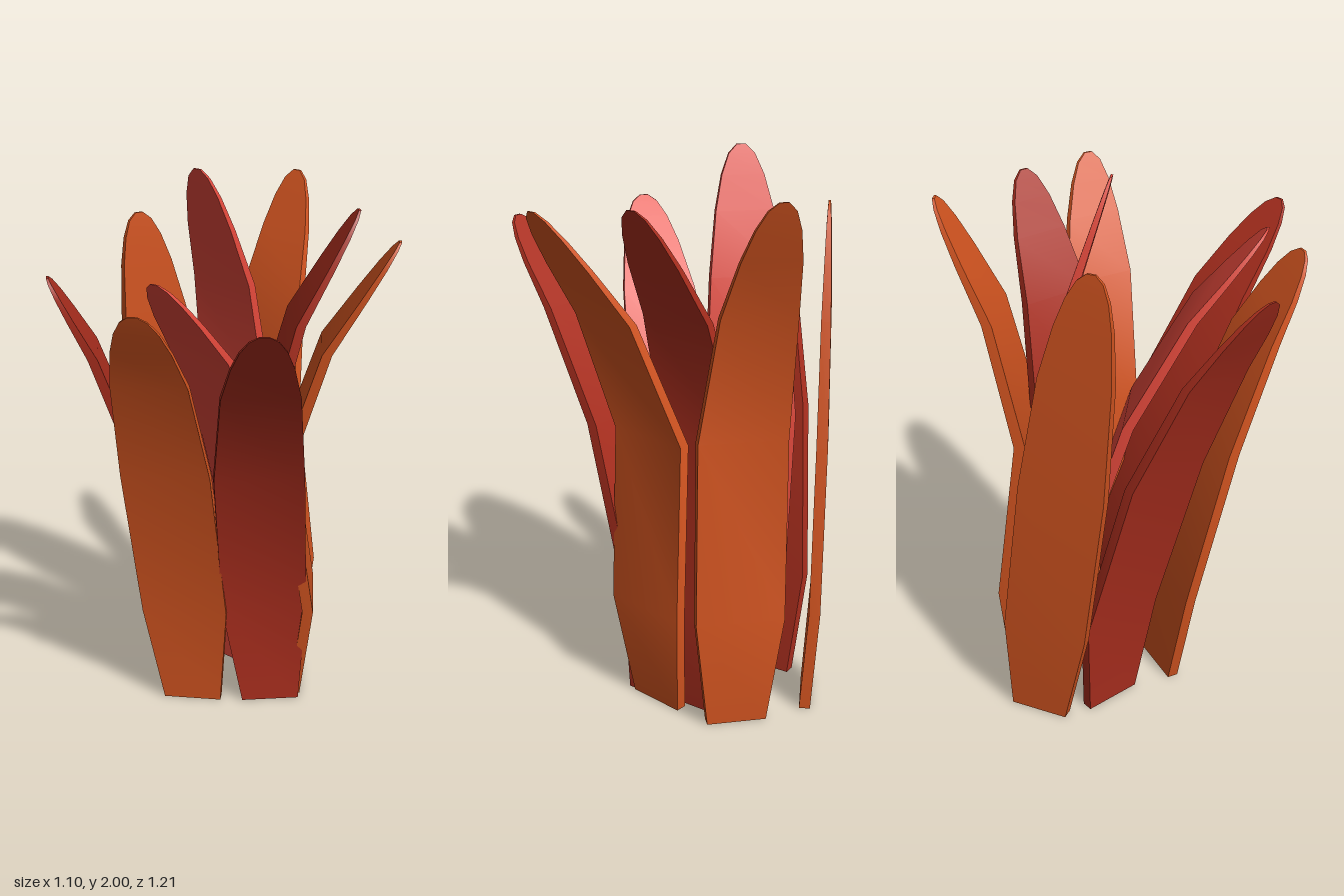
import * as THREE from 'three';
import { toCreasedNormals } from 'three/addons/utils/BufferGeometryUtils.js';

const ORANGE = 0xd25420, DEEP_RED = 0xaa2e1e, RED = 0xde473a;

// Rows from base to tip, as fractions: height and outward bend
const ARCHED = { height: [0, 0.215, 0.55, 0.79, 1], bend: [0, 0.12, -0.33, 0.14, 1] };
const SWEPT = { height: [0, 0.235, 0.6, 0.83, 1], bend: [0, 0.06, 0.35, 0.66, 1] };

// Half widths and half thicknesses for the four lower rows of every leaf
const WIDTH = [0.108, 0.158, 0.158, 0.13];
const THICK = [0.02, 0.02, 0.02, 0.017];
// Rounded tip: [fraction from fourth row to tip, half width, half thickness]
const TIP = [[0.5, 0.1, 0.012], [0.77, 0.073, 0.009], [0.93, 0.045, 0.006], [1, 0.015, 0.004]];

// Each leaf: name, colour, form, angle of its width from x in degrees,
// base [x, z], tip [x, y, z], and an optional bow of the middle [outward, sideways]
const LEAVES = [
  ['backLeaf', ORANGE, ARCHED, 0, [-0.12, -0.41], [-0.2, 1.91, -0.605]],
  ['rightSideLeaf', ORANGE, ARCHED, 107, [-0.415, -0.285], [-0.505, 1.8, -0.06], [0.035, 0.055]],
  ['leftSideLeaf', ORANGE, ARCHED, 53, [0.125, -0.22], [0.53, 1.83, -0.21]],
  ['frontLeaf', ORANGE, SWEPT, -33, [-0.1, 0.13], [0.075, 1.67, 0.58], [0, -0.025]],
  ['backLeftLeaf', DEEP_RED, ARCHED, 45, [0.005, -0.28], [0.235, 1.86, -0.395]],
  ['frontRightLeaf', DEEP_RED, SWEPT, 44, [-0.32, -0.04], [-0.41, 1.69, 0.485], [0.02, 0]],
  ['frontLeftLeaf', DEEP_RED, SWEPT, -45, [0.13, -0.055], [0.53, 1.68, 0.495], [-0.05, -0.03]],
  ['innerBackLeaf', RED, ARCHED, 0, [-0.19, -0.195], [-0.195, 2, -0.035]],
  ['innerFrontLeaf', RED, SWEPT, 0, [0.01, -0.235], [0.06, 1.745, 0.46]],
];

// Centre line: arched leaves curl outward at the tip, swept leaves lean ever further
function leafSpine(form, side, out, base, tip, bow) {
  const start = new THREE.Vector3(base[0], 0, base[1]);
  const span = new THREE.Vector3(...tip).sub(start);
  const reach = span.dot(out), drift = span.dot(side);
  const curl = form === ARCHED ? THREE.MathUtils.clamp(reach, -0.25, 0.25) : reach;
  return form.height.map((h, i) => {
    const middle = Math.sin(Math.PI * h);
    const outward = curl * form.bend[i] + (reach - curl) * h + bow[0] * middle;
    const sideways = drift * h * h + bow[1] * middle;
    const point = start.clone().addScaledVector(out, outward).addScaledVector(side, sideways);
    return point.setY(span.y * h);
  });
}

// Solid flat blade: four-cornered rings stacked along the spine, capped at both ends
function leafGeometry(form, degrees, base, tip, bow) {
  const angle = THREE.MathUtils.degToRad(degrees);
  const side = new THREE.Vector3(Math.cos(angle), 0, Math.sin(angle));
  const out = new THREE.Vector3(-side.z, 0, side.x);
  const spine = leafSpine(form, side, out, base, tip, bow);
  const rings = WIDTH.map((w, i) => [spine[i], w, THICK[i]]);
  for (const [f, w, t] of TIP) rings.push([spine[3].clone().lerp(spine[4], f), w, t]);

  const position = [], index = [];
  for (const [c, w, t] of rings) {
    for (const [a, b] of [[1, 1], [-1, 1], [-1, -1], [1, -1]]) {
      const v = c.clone().addScaledVector(side, a * w).addScaledVector(out, b * t);
      position.push(v.x, v.y, v.z);
    }
  }
  const last = (rings.length - 1) * 4;
  for (let i = 0; i < last; i += 4) {
    for (let j = 0; j < 4; j++) {
      const k = (j + 1) % 4;
      index.push(i + j, i + 4 + j, i + 4 + k, i + j, i + 4 + k, i + k);
    }
  }
  index.push(0, 1, 2, 0, 2, 3, last + 3, last + 2, last + 1, last + 3, last + 1, last);

  const geometry = new THREE.BufferGeometry();
  geometry.setAttribute('position', new THREE.Float32BufferAttribute(position, 3));
  geometry.setIndex(index);
  return toCreasedNormals(geometry, 0.7);
}

export function createModel() {
  const plant = new THREE.Group();
  plant.name = 'leafClump';
  for (const [name, color, form, degrees, base, tip, bow = [0, 0]] of LEAVES) {
    const material = new THREE.MeshStandardMaterial({ color });
    const leaf = new THREE.Mesh(leafGeometry(form, degrees, base, tip, bow), material);
    leaf.name = name;
    plant.add(leaf);
  }
  return plant;
}
